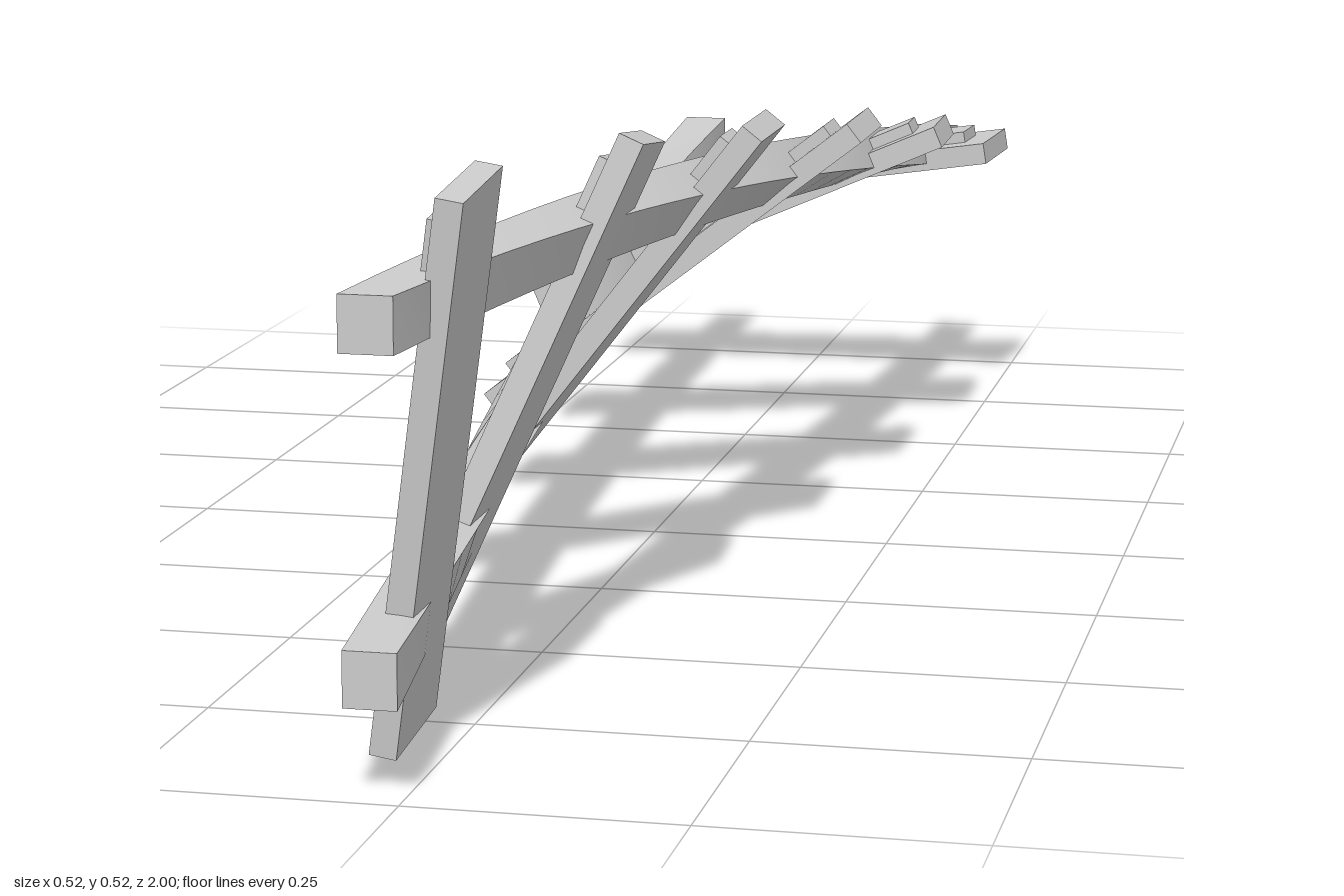
import * as THREE from 'three';

const AXIS_Y = 0.255;          // height of the twist axis
const TWIST = Math.PI / 2;     // total twist from back (z = -1) to front (z = 1)

const material = new THREE.MeshStandardMaterial({ color: 0xcccccc });

function box(name, w, h, d, x, y, z) {
  const mesh = new THREE.Mesh(new THREE.BoxGeometry(w, h, d), material);
  mesh.name = name;
  mesh.position.set(x, y, z);
  return mesh;
}

// Square bar running along z, its vertices turned about the twist axis
function rail(name, x) {
  const geo = new THREE.BoxGeometry(0.05, 0.048, 2, 1, 1, 24);
  geo.translate(x, 0.024, 0);
  const p = geo.attributes.position;
  for (let i = 0; i < p.count; i++) {
    const a = TWIST * (p.getZ(i) + 1) / 2;
    const px = p.getX(i), py = p.getY(i);
    p.setXY(i, px * Math.cos(a) - py * Math.sin(a), px * Math.sin(a) + py * Math.cos(a));
  }
  geo.computeVertexNormals();
  const mesh = new THREE.Mesh(geo, material);
  mesh.name = name;
  return mesh;
}

// Flat plank with a raised fastening plate near each end
function sleeper(index, skew) {
  const g = new THREE.Group();
  g.name = 'sleeper' + (index + 1);
  g.add(box('plank', 0.51, 0.025, 0.125, 0, 0.0095, 0));
  for (const s of [-1, 1]) {
    g.add(box(s > 0 ? 'leftPlate' : 'rightPlate', 0.095, 0.016, 0.06, s * 0.1775, 0.027, 0));
  }
  g.position.z = -0.84 + index * 0.336;
  g.rotation.order = 'ZYX';
  g.rotation.set(0, skew, THREE.MathUtils.degToRad(9 + 14.4 * index));
  return g;
}

export function createModel() {
  const track = new THREE.Group();
  track.name = 'twistedTrack';
  track.position.y = AXIS_Y;

  track.add(rail('leftRail', 0.151), rail('rightRail', -0.151));

  // Slightly uneven sleepers, from back to front
  [-0.08, 0.04, -0.02, 0, 0.13, -0.11].forEach((skew, i) => track.add(sleeper(i, skew)));

  const model = new THREE.Group();
  model.name = 'model';
  model.add(track);
  return model;
}
